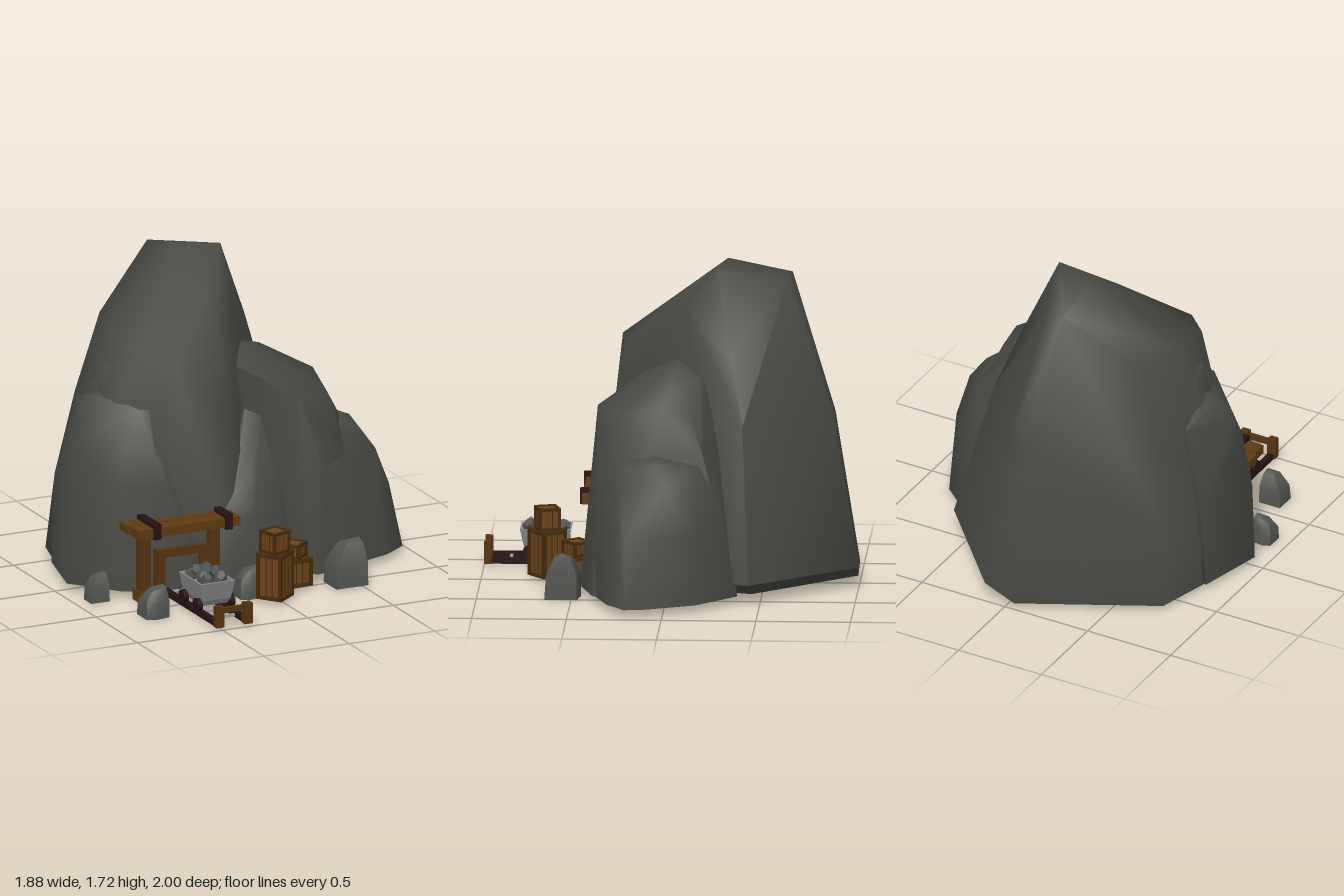
import * as THREE from 'three';
import { toCreasedNormals } from 'three/addons/utils/BufferGeometryUtils.js';
import { ConvexGeometry } from 'three/addons/geometries/ConvexGeometry.js';

const mat = (name, color) => {
  const m = new THREE.MeshStandardMaterial({ color });
  m.name = name;
  return m;
};
const M = {
  cliff: mat('cliff stone', 0x484943),
  boulder: mat('boulder grey', 0x51534f),
  wood: mat('timber', 0x553410),
  beam: mat('beam timber', 0x5e3a12),
  panel: mat('crate panel', 0x6c431b),
  frame: mat('crate frame', 0x472b0c),
  iron: mat('dark iron', 0x261315),
  cart: mat('cart metal', 0x858686),
  rung: mat('rail tie metal', 0x9c9e9e),
};

function add(parent, name, geo, material, x = 0, y = 0, z = 0) {
  const mesh = new THREE.Mesh(geo, material);
  mesh.name = name;
  mesh.position.set(x, y, z);
  parent.add(mesh);
  return mesh;
}

function group(parent, name) {
  const g = new THREE.Group();
  g.name = name;
  parent.add(g);
  return g;
}

// Box given by its minimum and maximum corners
function box(parent, name, material, x0, x1, y0, y1, z0, z1) {
  return add(parent, name, new THREE.BoxGeometry(x1 - x0, y1 - y0, z1 - z0), material,
    (x0 + x1) / 2, (y0 + y1) / 2, (z0 + z1) / 2);
}

// Softly shaded rock mass spanned by a few corner points
function rock(parent, name, material, pts, crease = 1.05) {
  const hull = new ConvexGeometry(pts.map((p) => new THREE.Vector3(...p)));
  return add(parent, name, toCreasedNormals(hull, crease), material);
}

function buildCliff(root) {
  const g = group(root, 'cliff');
  rock(g, 'mainPeak', M.cliff, [
    [-0.05, 0.03, -0.99], [-0.75, 0.03, -0.63], [-0.92, 0.03, 0], [-0.72, 0.03, 0.25], [-0.5, 0.03, 0.33],
    [-0.1, 0.03, 0.37], [0.25, 0.03, 0.1], [0.45, 0.03, -0.45],
    [-0.05, 0.11, -1], [0.12, 0.11, -1], [0.62, 0.11, -0.44], [0.58, 0.11, -0.36],
    [-0.05, 0.45, -0.94], [0.09, 0.45, -0.94], [0.52, 0.45, -0.42], [-0.72, 0.45, -0.58],
    [-0.9, 0.45, -0.05], [-0.5, 0.45, 0.31], [-0.12, 0.45, 0.34],
    [-0.05, 0.92, -0.87], [0.06, 0.92, -0.86], [0.4, 0.92, -0.4], [-0.64, 0.92, -0.5], [-0.74, 0.92, -0.1],
    [-0.5, 0.92, 0.28], [-0.12, 0.92, 0.3], [0.15, 0.92, -0.02],
    [-0.57, 1.28, 0.11], [-0.42, 1.25, 0.27], [-0.15, 1.26, 0.24], [0.27, 1.27, -0.33], [0, 1.27, -0.72],
    [-0.61, 1.35, -0.2], [-0.52, 1.35, -0.45], [-0.12, 1.5, 0], [0.08, 1.5, -0.08],
    [-0.15, 1.715, -0.3], [0.09, 1.705, -0.25], [-0.15, 1.645, -0.64], [-0.04, 1.63, -0.62],
  ]);
  rock(g, 'leftShoulder', M.cliff, [
    [-0.78, 1.02, -0.1], [-0.69, 1.04, -0.08], [-0.5, 1, 0.22], [-0.6, 1, 0.19], [-0.84, 0.92, -0.05],
    [-0.875, 0.8, 0], [-0.925, 0.48, 0.02], [-0.94, 0.04, 0.02], [-0.75, 0.04, 0.24], [-0.74, 0.6, 0.22],
    [-0.55, 0.04, 0.34], [-0.5, 0.6, 0.33], [-0.3, 0.1, 0.35], [-0.85, 0.04, -0.35], [-0.83, 0.5, -0.36],
    [-0.72, 0.95, -0.33], [-0.4, 0.5, -0.2],
  ]);
  rock(g, 'leftLedge', M.cliff, [
    [-0.69, 1.0, -0.2], [-0.69, 1.15, -0.16], [-0.7, 1.02, -0.02], [-0.66, 1.17, -0.04], [-0.5, 1.0, 0.2],
    [-0.52, 1.16, 0.12], [-0.4, 1.2, 0], [-0.4, 1, 0], [-0.6, 1.2, -0.22],
  ]);
  rock(g, 'centreLump', M.cliff, [
    [-0.24, 0.03, 0.36], [-0.02, 0.03, 0.43], [0.2, 0.03, 0.38], [-0.22, 0.36, 0.34], [-0.03, 0.4, 0.41],
    [0.18, 0.4, 0.35], [-0.12, 0.5, 0.34], [0, 0.62, 0.33], [0.1, 0.92, 0.22], [0.03, 0.92, 0.17],
    [0.19, 0.6, 0.28], [0, 0.03, 0], [0, 0.7, 0],
  ]);
  rock(g, 'rightPeak', M.cliff, [
    [0.005, 1.14, 0.12], [0.11, 1.22, -0.05], [0.28, 1.15, -0.18], [0.2, 1.1, -0.22], [0.25, 1, 0.37],
    [0.5, 1.04, 0.02], [0.47, 0.98, 0.25], [0.5, 1, -0.12], [0.61, 0.8, 0.1], [0.58, 0.8, -0.2],
    [0.54, 0.72, 0.3], [0.32, 0.04, 0.46], [0.24, 0.5, 0.41], [0.6, 0.04, 0.38], [0.56, 0.04, -0.38],
    [0.3, 0.75, -0.3], [0.025, 0.9, 0.17], [0.17, 0.5, 0.27], [0.22, 0.04, 0.32], [0.1, 0.04, 0],
  ]);
  rock(g, 'rightShoulder', M.cliff, [
    [0.61, 0.8, 0.05], [0.7, 0.76, 0.05], [0.67, 0.74, 0.22], [0.77, 0.66, 0], [0.76, 0.62, 0.24],
    [0.62, 0.74, -0.16], [0.85, 0.4, 0], [0.86, 0.4, 0.2], [0.76, 0.4, -0.17], [0.93, 0.04, 0.11],
    [0.94, 0.04, 0.2], [0.8, 0.04, 0.3], [0.8, 0.04, -0.17], [0.56, 0.04, -0.38], [0.52, 0.78, 0.27],
    [0.35, 0.04, 0.45], [0.3, 0.72, 0.36], [0.42, 0.5, 0.4], [0.45, 0.75, -0.24], [0.6, 0.5, -0.3],
  ]);
}

// Upright blocky stone, high on its right side
function boulder(parent, x, z, w, d, h, flip = 1) {
  const unit = [
    [-1, 0, -0.7], [-0.2, 0, -1], [1, 0, -0.8], [0.95, 0, 1], [-1, 0, 1],
    [-0.93, 0.5, -0.6], [-0.2, 0.55, -0.97], [1, 0.55, -0.8], [0.96, 0.55, 0.9], [-0.95, 0.48, 0.92],
    [-0.6, 0.78, -0.3], [-0.2, 0.88, 0.45], [-0.1, 0.9, -0.5], [0.9, 0.9, 0.45], [0.92, 0.92, -0.45],
    [0.85, 1, 0], [0.3, 0.98, 0.05],
  ];
  rock(parent, 'boulder', M.boulder, unit.map(([a, b, c]) => [a * w / 2, b * h, c * flip * d / 2]), 0.7)
    .position.set(x, 0.005, z);
}

// Timber entrance: two posts, twin lintel beams, clamps and an inner frame
function buildPortal(root) {
  const g = group(root, 'mineEntrance');
  for (const x of [-0.65, -0.245]) {
    box(g, 'post', M.wood, x - 0.03, x + 0.03, 0.03, 0.39, 0.32, 0.38);
    box(g, 'postFoot', M.beam, x - 0.04, x + 0.04, 0, 0.06, 0.3, 0.39);
  }
  box(g, 'backBeam', M.beam, -0.755, -0.14, 0.385, 0.43, 0.28, 0.373);
  box(g, 'frontBeam', M.beam, -0.74, -0.14, 0.38, 0.43, 0.383, 0.472);
  for (const x of [-0.63, -0.21]) box(g, 'beamClamp', M.iron, x - 0.02, x + 0.02, 0.37, 0.455, 0.27, 0.485);
  for (const x of [-0.557, -0.303]) box(g, 'innerPost', M.wood, x - 0.023, x + 0.023, 0.02, 0.27, 0.32, 0.38);
  box(g, 'innerLintel', M.wood, -0.58, -0.28, 0.225, 0.27, 0.32, 0.37);
}

function buildTrack(root) {
  const g = group(root, 'track');
  for (const x of [-0.513, -0.347]) {
    box(g, 'rail', M.iron, x - 0.016, x + 0.016, 0.015, 0.045, 0.25, 0.98);
    box(g, 'bufferPost', M.wood, x - 0.023, x + 0.023, 0.015, 0.13, 0.96, 1);
  }
  for (const z of [0.37, 0.49, 0.53, 0.62, 0.74, 0.86]) box(g, 'tie', M.rung, -0.5, -0.36, 0.02, 0.035, z - 0.008, z + 0.008);
  box(g, 'bufferBar', M.wood, -0.5, -0.36, 0.09, 0.118, 0.965, 0.99);
}

function buildCart(root) {
  const g = group(root, 'mineCart');
  g.position.set(-0.435, 0, 0.675);
  // Tapered tub: outer and inner walls lathed with four sides
  const profile = [[0, 0.07], [0.72, 0.07], [0.84, 0.1], [1, 0.2], [0.88, 0.2], [0.76, 0.12], [0, 0.12]];
  const tub = new THREE.LatheGeometry(profile.map(([r, y]) => new THREE.Vector2(r * Math.SQRT2, y)), 4);
  tub.rotateY(Math.PI / 4);
  tub.scale(0.1, 1, 0.135);
  add(g, 'tub', toCreasedNormals(tub.toNonIndexed(), 0.2), M.cart);
  for (const z of [-0.085, 0.085]) {
    for (const x of [-0.095, 0.095]) {
      const wheel = new THREE.CylinderGeometry(0.036, 0.036, 0.028, 12).rotateZ(Math.PI / 2);
      add(g, 'wheel', wheel, M.iron, x, 0.078, z);
    }
    add(g, 'axle', new THREE.CylinderGeometry(0.01, 0.01, 0.2, 8).rotateZ(Math.PI / 2), M.iron, 0, 0.078, z);
  }
  // Heap of ore
  for (let i = 0; i < 8; i++) {
    const ore = add(g, 'ore', new THREE.DodecahedronGeometry(0.044), M.boulder,
      (i % 2 ? 0.038 : -0.038), 0.195 + (i % 3) * 0.015, -0.088 + Math.floor(i / 2) * 0.058);
    ore.rotation.set(i * 1.3, i * 0.8, i * 2.1);
    ore.scale.set(1.1, 0.8, 0.85);
  }
}

// Framed crate with plank seams
function crate(parent, x, y, z, w, h, turn) {
  const g = group(parent, 'crate');
  g.position.set(x, y, z);
  g.rotation.y = turn;
  const b = w * 0.13, o = w / 2, i = o - b;
  box(g, 'panels', M.panel, -o + 0.008, o - 0.008, 0.006, h - 0.006, -o + 0.008, o - 0.008);
  for (const s of [-1, 1]) {
    for (const t of [-1, 1]) {
      const c = s * (o - b / 2), d = t * (o - b / 2);
      box(g, 'cornerBar', M.frame, c - b / 2, c + b / 2, 0, h, d - b / 2, d + b / 2);
    }
    for (const y0 of [0, h - b]) {
      const c = s * (o - b / 2);
      box(g, 'edgeBar', M.frame, -i, i, y0, y0 + b, c - b / 2, c + b / 2);
      box(g, 'edgeBar', M.frame, c - b / 2, c + b / 2, y0, y0 + b, -i, i);
    }
    for (const p of [-w * 0.12, w * 0.12]) {
      const f = s * (o - 0.007);
      box(g, 'plankSeam', M.frame, p - 0.0015, p + 0.0015, b, h - b, f - 0.002, f + 0.002);
      box(g, 'plankSeam', M.frame, f - 0.002, f + 0.002, b, h - b, p - 0.0015, p + 0.0015);
    }
  }
}

export function createModel() {
  const root = new THREE.Group();
  root.name = 'mine';
  buildCliff(root);
  buildPortal(root);
  buildTrack(root);
  buildCart(root);
  const crates = group(root, 'crates');
  crate(crates, -0.025, 0.02, 0.65, 0.15, 0.25, 0.65);
  crate(crates, -0.025, 0.27, 0.65, 0.118, 0.12, 0.3);
  crate(crates, 0.16, 0.02, 0.485, 0.155, 0.15, 0.06);
  crate(crates, 0.16, 0.17, 0.485, 0.115, 0.08, 0.7);
  const stones = group(root, 'boulders');
  boulder(stones, -0.875, 0.245, 0.11, 0.11, 0.155);
  boulder(stones, -0.725, 0.63, 0.13, 0.14, 0.17, -1);
  boulder(stones, -0.13, 0.535, 0.12, 0.13, 0.17, -1);
  boulder(stones, 0.437, 0.545, 0.19, 0.19, 0.245);
  return root;
}
